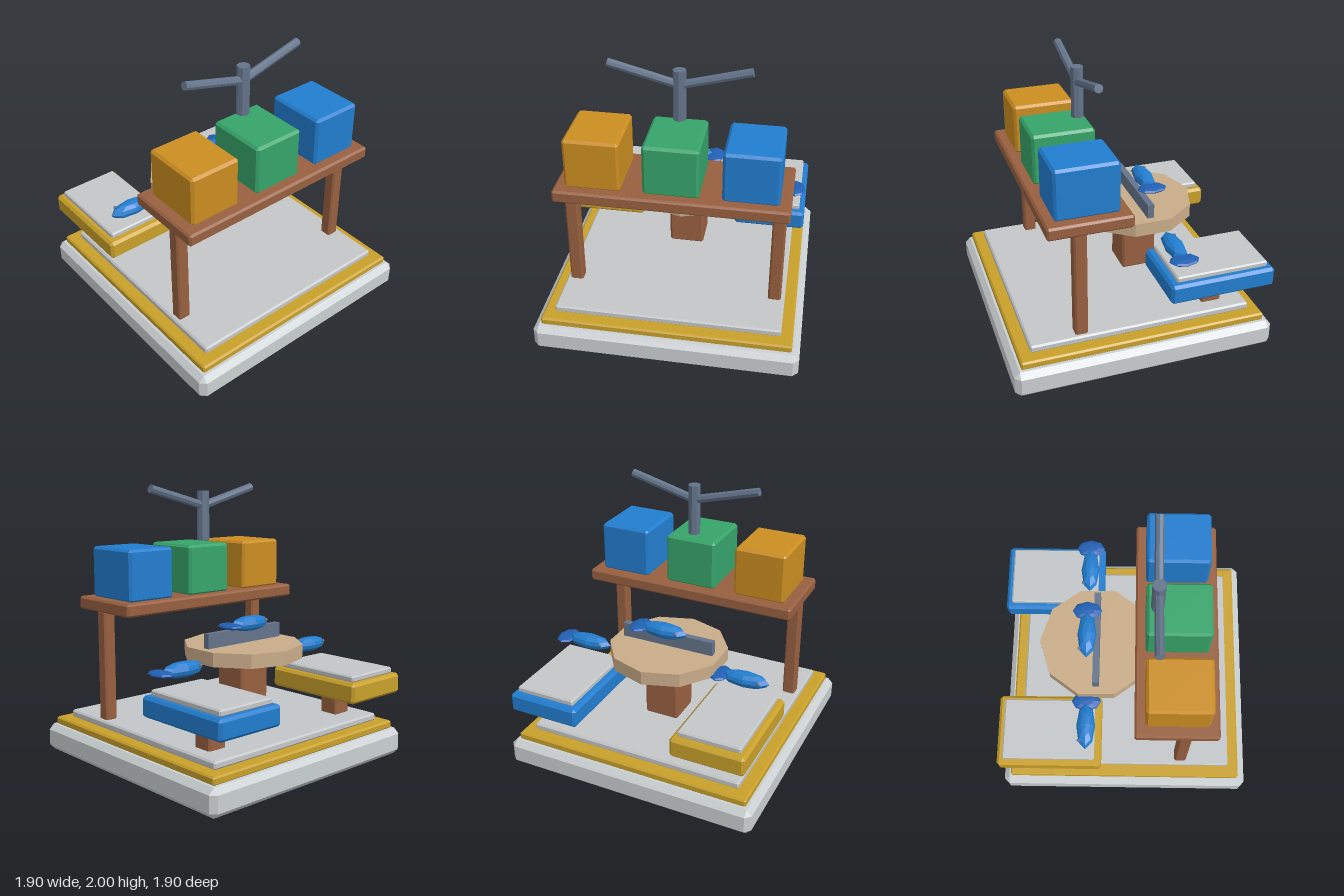
import * as THREE from 'three';
import { ConvexGeometry } from 'three/addons/geometries/ConvexGeometry.js';

const mat = (name, color, flatShading = true) => {
  const m = new THREE.MeshStandardMaterial({ color, flatShading });
  m.name = name;
  return m;
};

// Box with 45 degree chamfers, the hull of its 24 corner points
function chamferBox(w, h, d, c) {
  const pts = [];
  for (const sx of [-1, 1]) for (const sy of [-1, 1]) for (const sz of [-1, 1]) {
    for (let axis = 0; axis < 3; axis++) {
      const inset = [c, c, c];
      inset[axis] = 0;
      pts.push(new THREE.Vector3(
        sx * (w / 2 - inset[0]), sy * (h / 2 - inset[1]), sz * (d / 2 - inset[2])));
    }
  }
  return new ConvexGeometry(pts);
}

export function createModel() {
  const model = new THREE.Group();
  const paleGrey = mat('paleGrey', 0xcacfd1);
  const plateGrey = mat('plateGrey', 0xc3c6c8);
  const gold = mat('gold', 0xc8a02a);
  const brown = mat('brown', 0x986040);
  const orange = mat('orange', 0xcb8d20);
  const green = mat('green', 0x36a46a);
  const blue = mat('blue', 0x217dcf);
  const deepBlue = mat('deepBlue', 0x2160b4);
  const slate = mat('slate', 0x64748b);
  const tan = mat('tan', 0xc9ac89);

  const add = (parent, name, geometry, material, x = 0, y = 0, z = 0) => {
    const mesh = new THREE.Mesh(geometry, material);
    mesh.name = name;
    mesh.position.set(x, y, z);
    parent.add(mesh);
    return mesh;
  };
  // Chamfered block given by its bounds in x, y and z
  const block = (name, material, [x0, x1], [y0, y1], [z0, z1], c) =>
    add(model, name, chamferBox(x1 - x0, y1 - y0, z1 - z0, c), material,
      (x0 + x1) / 2, (y0 + y1) / 2, (z0 + z1) / 2);

  // Stepped base
  block('base', paleGrey, [-0.95, 0.95], [0, 0.2], [-0.95, 0.95], 0.04);
  block('baseTrim', gold, [-0.895, 0.895], [0.195, 0.255], [-0.895, 0.895], 0.012);
  block('floor', plateGrey, [-0.81, 0.81], [0.255, 0.31], [-0.81, 0.81], 0.012);

  // Front shelf on two posts, with three crates
  block('shelf', brown, [-0.81, 0.81], [1.105, 1.197], [0.07, 0.665], 0.014);
  for (const s of [-1, 1]) {
    block('shelfPost', brown, [s * 0.735 - 0.047, s * 0.735 + 0.047],
      [0.3, 1.11], [0.39, 0.482], 0.012);
  }
  [orange, green, blue].forEach((material, i) => {
    const x = (i - 1) * 0.54;
    block('crate', material, [x - 0.193, x + 0.193], [1.19, 1.56], [0.142, 0.595], 0.018);
  });

  // Forked mast above the middle crate
  const mast = new THREE.Group();
  mast.name = 'mast';
  mast.position.set(0, 0, 0.215);
  model.add(mast);
  add(mast, 'mastPole', new THREE.CylinderGeometry(0.046, 0.046, 0.366, 8), slate, 0, 1.769, 0);
  for (const s of [-1, 1]) {
    const start = new THREE.Vector3(0, 1.842, 0);
    const end = new THREE.Vector3(s * 0.49, 1.971, 0);
    const dir = end.clone().sub(start);
    const arm = add(mast, 'mastArm', new THREE.CylinderGeometry(0.031, 0.031, dir.length(), 8), slate);
    arm.position.copy(start).add(end).multiplyScalar(0.5);
    arm.quaternion.setFromUnitVectors(new THREE.Vector3(0, 1, 0), dir.normalize());
  }

  // Ten-sided table with an upright bar
  block('tablePedestal', brown, [-0.13, 0.13], [0.33, 0.785], [-0.345, -0.085], 0.015);
  add(model, 'tableTop', new THREE.CylinderGeometry(0.433, 0.433, 0.1, 10), tan, 0, 0.825, -0.215);
  add(model, 'tableBar', new THREE.BoxGeometry(0.71, 0.11, 0.048), slate, 0, 0.925, -0.217);

  // Two rear trays
  for (const [s, material] of [[-1, gold], [1, blue]]) {
    const x = s * 0.628;
    block('trayLeg', brown, [x - 0.075, x + 0.075], [0.3, 0.5], [-0.637, -0.49], 0.012);
    block('tray', material, [x - 0.268, x + 0.268], [0.483, 0.63], [-0.955, -0.175], 0.02);
    block('trayPlate', plateGrey, [x - 0.227, x + 0.227], [0.628, 0.674], [-0.91, -0.225], 0.01);
  }

  // Three faceted fish facing -x
  const facets = new THREE.SphereGeometry(1, 8, 6);
  for (const [x, y] of [[-0.63, 0.785], [0, 1.024], [0.627, 0.785]]) {
    const fish = new THREE.Group();
    fish.name = 'fish';
    fish.position.set(x, y, -0.287);
    model.add(fish);
    add(fish, 'fishBody', facets, blue).scale.set(0.178, 0.055, 0.07);
    add(fish, 'fishTail', facets, deepBlue, 0.187, -0.002, 0).scale.set(0.075, 0.022, 0.11);
    add(fish, 'fishEye', facets, slate, -0.113, 0.016, -0.052).scale.setScalar(0.012);
  }
  return model;
}
